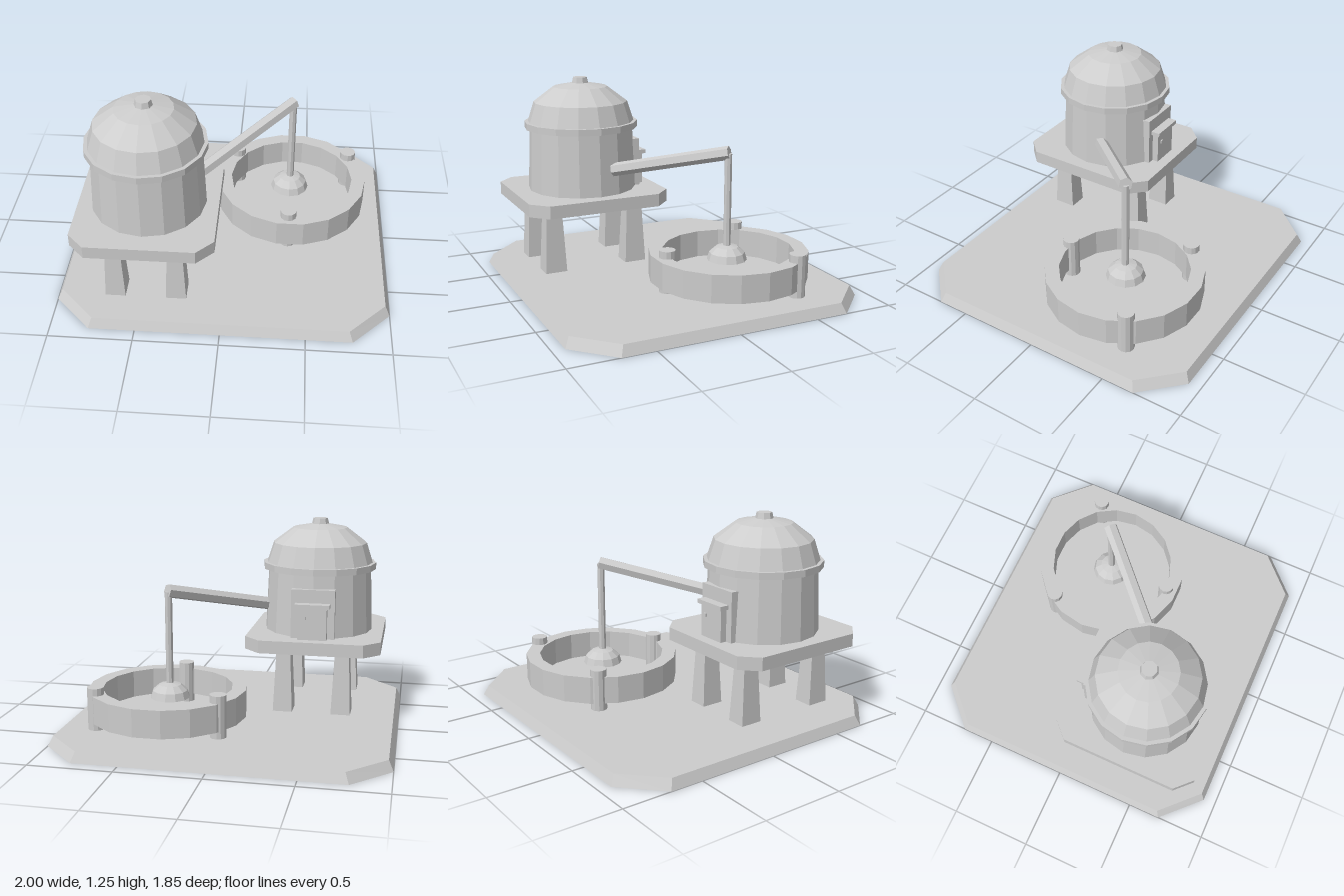
import * as THREE from 'three';

export function createModel() {
  const model = new THREE.Group();
  const grey = new THREE.MeshStandardMaterial({ color: 0xcccccc });
  grey.name = 'plainGrey';
  grey.flatShading = true;
  grey.side = THREE.DoubleSide; // the base is an open shell underneath

  function add(parent, name, geometry, x = 0, y = 0, z = 0) {
    const mesh = new THREE.Mesh(geometry, grey);
    mesh.name = name;
    mesh.position.set(x, y, z);
    parent.add(mesh);
    return mesh;
  }
  function group(name, x, z) {
    const g = new THREE.Group();
    g.name = name;
    g.position.set(x, 0, z);
    model.add(g);
    return g;
  }
  // lathe with a corner on the x axis
  function lathe(points, sides) {
    const profile = points.map(([r, y]) => new THREE.Vector2(r, y));
    return new THREE.LatheGeometry(profile, sides, Math.PI / 2);
  }
  // box whose top face is scaled towards its centre
  function taperedBox(w, h, d, top) {
    const g = new THREE.BoxGeometry(w, h, d);
    const p = g.attributes.position;
    for (let i = 0; i < p.count; i++) {
      if (p.getY(i) > 0) p.setXYZ(i, p.getX(i) * top, p.getY(i), p.getZ(i) * top);
    }
    return g;
  }
  // rectangular slab with cut corners; top edge drawn in by inset
  function cutSlab(hx, hz, cut, height, inset = 0) {
    const s = new THREE.Shape([
      [hx, hz - cut], [hx - cut, hz], [cut - hx, hz], [-hx, hz - cut],
      [-hx, cut - hz], [cut - hx, -hz], [hx - cut, -hz], [hx, cut - hz],
    ].map(([x, z]) => new THREE.Vector2(x, z)));
    const g = new THREE.ExtrudeGeometry(s, { depth: height, bevelEnabled: false });
    g.rotateX(-Math.PI / 2);
    const p = g.attributes.position;
    for (let i = 0; i < p.count; i++) {
      if (p.getY(i) < height / 2) continue;
      p.setX(i, p.getX(i) * (1 - inset / hx));
      p.setZ(i, p.getZ(i) * (1 - inset / hz));
    }
    g.computeVertexNormals();
    return g;
  }
  // removes the bottom lid of an extruded slab, which comes first in its buffers
  function openBottom(slab) {
    const skip = slab.groups[0].count / 2;
    const g = new THREE.BufferGeometry();
    for (const name of ['position', 'normal']) {
      g.setAttribute(name, new THREE.BufferAttribute(slab.attributes[name].array.slice(skip * 3), 3));
    }
    return g;
  }

  // ground slab, hollow below
  add(model, 'base', openBottom(cutSlab(1, 0.925, 0.225, 0.06, 0.028)));

  // raised tank on four legs
  const tank = group('tankTower', -0.46, 0.364);
  add(tank, 'platform', cutSlab(0.42, 0.457, 0.1, 0.08), 0, 0.464, 0);
  for (const sx of [-1, 1]) {
    for (const sz of [-1, 1]) {
      add(tank, 'leg', taperedBox(0.122, 0.42, 0.14, 0.7), sx * 0.183, 0.265, sz * 0.27);
    }
  }
  add(tank, 'tankBody', lathe([[0, 0.54], [0.345, 0.54], [0.328, 0.95], [0, 0.95]], 16));
  add(tank, 'rim', lathe([[0, 0.935], [0.36, 0.935], [0.36, 0.976], [0, 0.976]], 16));
  add(tank, 'dome', lathe([[0.34, 0.97], [0.298, 1.1], [0.172, 1.195], [0, 1.228]], 16));
  add(tank, 'knob', lathe([[0, 1.21], [0.056, 1.21], [0.046, 1.253], [0, 1.253]], 8));

  // hatch on the back of the tank
  const hatch = group('hatch', -0.46, 0);
  add(hatch, 'hatchFrame', new THREE.BoxGeometry(0.27, 0.31, 0.08), 0, 0.695, 0.055);
  add(hatch, 'hatchDoor', new THREE.BoxGeometry(0.18, 0.2, 0.05), 0, 0.644, 0);
  add(hatch, 'hatchLintel', new THREE.BoxGeometry(0.215, 0.025, 0.07), 0, 0.755, -0.008);
  add(hatch, 'hatchHandle', new THREE.BoxGeometry(0.02, 0.02, 0.012), 0.05, 0.68, -0.028);

  // open ring basin on posts
  const basin = group('basin', 0.388, -0.256);
  add(basin, 'ring', lathe([
    [0.398, 0.104], [0.485, 0.104], [0.485, 0.273], [0.398, 0.273], [0.398, 0.104],
  ], 18));
  for (const [x, z] of [[-0.368, -0.251], [0.378, -0.251], [-0.012, 0.402]]) {
    add(basin, 'post', new THREE.CylinderGeometry(0.05, 0.05, 0.262, 12), x, 0.187, z);
  }

  // sloping arm, drop pipe and hanging cap
  const start = new THREE.Vector3(-0.15, 0.704, 0.27);
  const end = new THREE.Vector3(0.382, 0.866, -0.258);
  const arm = add(model, 'arm', new THREE.CylinderGeometry(0.042, 0.042, start.distanceTo(end), 6));
  arm.position.copy(start).lerp(end, 0.5);
  arm.quaternion.setFromUnitVectors(new THREE.Vector3(0, 1, 0), end.clone().sub(start).normalize());

  add(model, 'dropPipe', new THREE.CylinderGeometry(0.023, 0.023, 0.58, 8), 0.378, 0.57, -0.254);
  add(model, 'hangingCap', lathe([
    [0, 0.205], [0.122, 0.205], [0.108, 0.25], [0.068, 0.285], [0, 0.3],
  ], 12), 0.376, 0, -0.256);

  return model;
}
